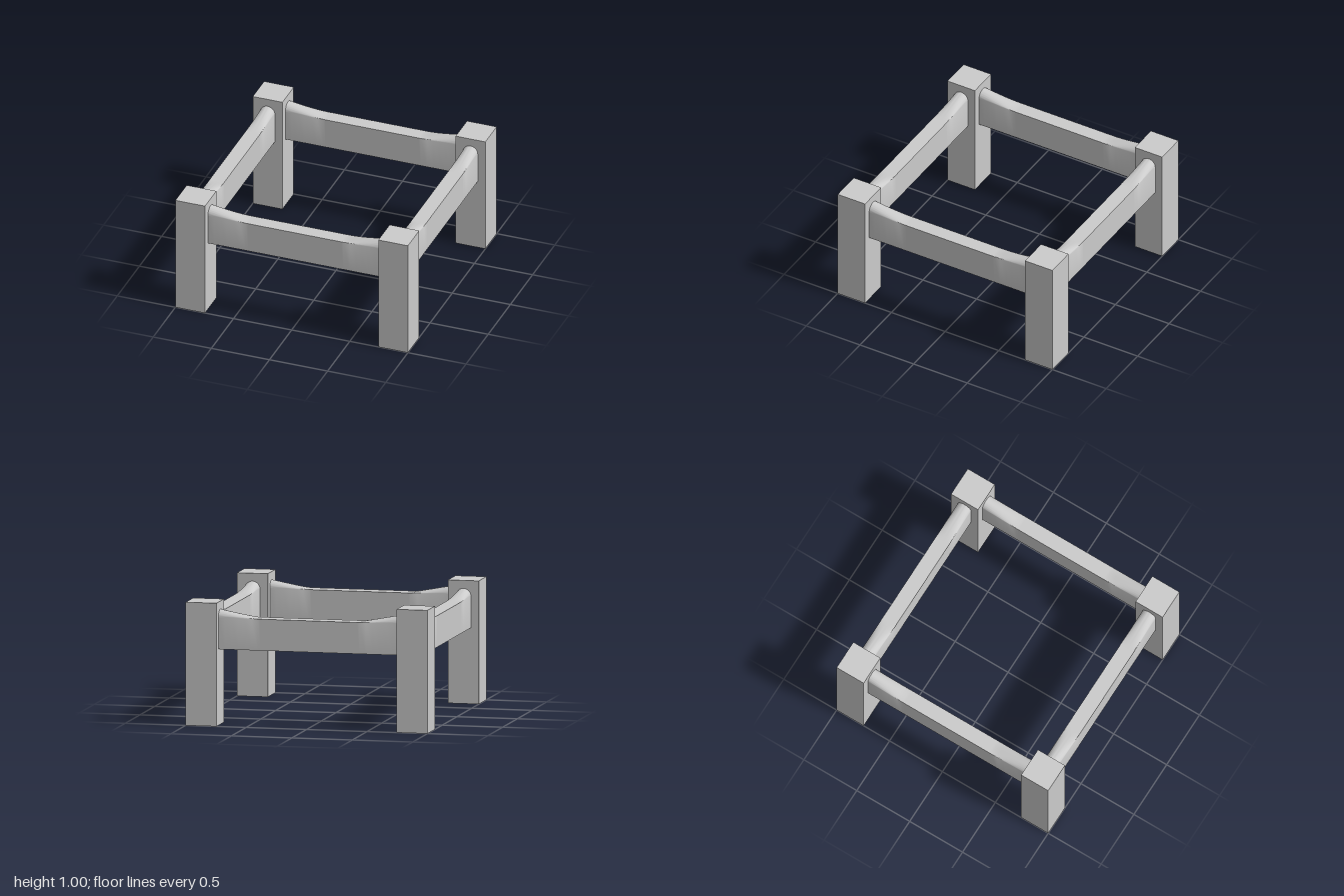
import * as THREE from 'three';
import { toCreasedNormals } from 'three/addons/utils/BufferGeometryUtils.js';

const POST = 0.255, INNER = 1 - POST;        // post width and its inner face
const HALF = 0.0625, RAIL_Y = 0.618, RAIL_TOP = 0.873;
const FLARE = 0.42, ARC = 24;                // where the domed ends begin

// Cross-section of a rail: square below, with an elliptical crown of height h
function section(x, h) {
  const pts = [[x, RAIL_Y, -HALF], [x, RAIL_Y, HALF]];
  for (let i = 0; i <= ARC; i++) {
    const a = Math.PI * i / ARC;
    pts.push([x, RAIL_TOP + h * Math.sin(a), HALF * Math.cos(a)]);
  }
  return pts;
}

// Rail along x, flat in the middle and rising to a round crown at both ends
function railGeometry() {
  const steps = 6, xs = [];
  for (let i = 0; i <= steps; i++) xs.push(FLARE + (INNER - FLARE) * i / steps);
  const half = [FLARE - 0.02, ...xs];
  const stations = [...half.map(x => -x).reverse(), ...half];
  const n = ARC + 3, pos = [], idx = [];
  for (const x of stations) {
    const t = Math.max(0, (Math.abs(x) - FLARE) / (INNER - FLARE));
    pos.push(...section(x, HALF * t).flat());
  }
  const last = (stations.length - 1) * n;
  for (let i = 0; i < stations.length - 1; i++) {
    for (let j = 0; j < n; j++) {
      const k = (j + 1) % n;
      const a = i * n + j, b = i * n + k, c = b + n, d = a + n;
      idx.push(a, d, b, b, d, c);
    }
  }
  // End caps
  for (let j = 1; j < n - 1; j++) {
    idx.push(0, j, j + 1, last, last + j + 1, last + j);
  }
  const geo = new THREE.BufferGeometry();
  geo.setAttribute('position', new THREE.Float32BufferAttribute(pos, 3));
  geo.setIndex(idx);
  return toCreasedNormals(geo, 0.5);
}

export function createModel() {
  const model = new THREE.Group();
  model.name = 'tableFrame';
  const material = new THREE.MeshStandardMaterial({ color: 0xcccccc });

  // Four square corner posts
  const postGeo = new THREE.BoxGeometry(POST, 1, POST);
  const c = 1 - POST / 2;
  for (const [sx, sz, name] of [[1, 1, 'frontLeftPost'], [-1, 1, 'frontRightPost'],
    [1, -1, 'backLeftPost'], [-1, -1, 'backRightPost']]) {
    const post = new THREE.Mesh(postGeo, material);
    post.name = name;
    post.position.set(sx * c, 0.5, sz * c);
    model.add(post);
  }

  // Four rails joining the posts
  const railGeo = railGeometry();
  ['frontRail', 'leftRail', 'backRail', 'rightRail'].forEach((name, i) => {
    const rail = new THREE.Mesh(railGeo, material);
    const a = i * Math.PI / 2;
    rail.name = name;
    rail.rotation.y = a;
    rail.position.set(c * Math.sin(a), 0, c * Math.cos(a));
    model.add(rail);
  });
  return model;
}
